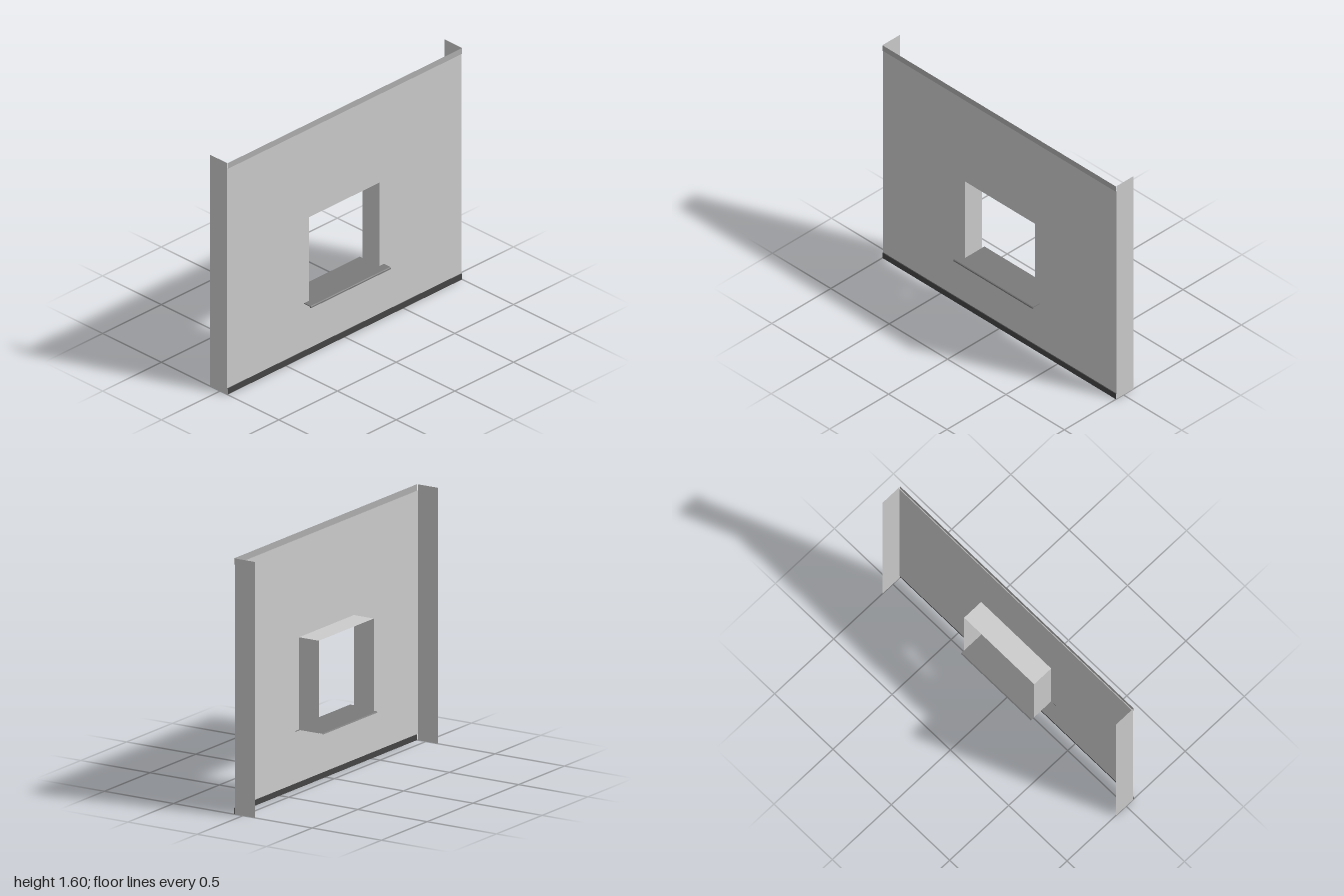
import * as THREE from 'three';

const paint = (color) => new THREE.MeshStandardMaterial({ color, side: THREE.DoubleSide });

export function createModel() {
  const model = new THREE.Group();
  const grey = paint(0xcccccc), trim = paint(0xaeaeae), dark = paint(0x454545), stone = paint(0x7a7a7a);
  const wallZ = 0.057, bandZ = 0.063, backZ = -0.087;
  const height = 1.6, band = 0.04;
  const hole = { x: 0.3, bottom: 0.366, top: 0.945 };

  const add = (name, geometry, material) => {
    const mesh = new THREE.Mesh(geometry, material);
    mesh.name = name;
    model.add(mesh);
    return mesh;
  };

  // Sheet following a [z, y] profile across the width of the wall
  const sheet = (name, profile, halfWidth, material) => {
    const positions = [], index = [];
    for (let i = 0; i < profile.length - 1; i++) {
      const [z0, y0] = profile[i], [z1, y1] = profile[i + 1];
      const n = positions.length / 3;
      positions.push(-halfWidth, y0, z0, halfWidth, y0, z0, halfWidth, y1, z1, -halfWidth, y1, z1);
      index.push(n, n + 1, n + 2, n, n + 2, n + 3);
    }
    const geometry = new THREE.BufferGeometry();
    geometry.setAttribute('position', new THREE.Float32BufferAttribute(positions, 3));
    geometry.setIndex(index);
    geometry.computeVertexNormals();
    return add(name, geometry, material);
  };

  // Wall face with the window opening
  const face = new THREE.Shape();
  face.moveTo(-1, band).lineTo(1, band).lineTo(1, height - band).lineTo(-1, height - band).closePath();
  const opening = new THREE.Path();
  opening.moveTo(-hole.x, hole.bottom).lineTo(-hole.x, hole.top);
  opening.lineTo(hole.x, hole.top).lineTo(hole.x, hole.bottom).closePath();
  face.holes.push(opening);
  add('wallFace', new THREE.ShapeGeometry(face), grey).position.z = wallZ;

  // Slightly raised strips along the bottom and top, each with its small ledge
  sheet('baseStrip', [[bandZ, 0], [bandZ, band], [wallZ, band]], 1, dark);
  sheet('topStrip', [[wallZ, height - band], [bandZ, height - band], [bandZ, height]], 1, trim);

  // Wall ends and the sides of the window reveal
  const depth = wallZ - backZ, midZ = (wallZ + backZ) / 2;
  for (const side of [-1, 1]) {
    const label = side > 0 ? 'left' : 'right';
    const upright = (name, x, y0, y1) => {
      const geometry = new THREE.PlaneGeometry(depth, y1 - y0).rotateY(side * Math.PI / 2);
      add(name, geometry, grey).position.set(side * x, (y0 + y1) / 2, midZ);
    };
    upright(label + 'WallEnd', 1, 0, height);
    upright(label + 'Reveal', hole.x, hole.bottom, hole.top);
  }

  // Window head
  sheet('headReveal', [[backZ, hole.top], [wallZ, hole.top]], hole.x, grey);

  // Sill inside the opening, with a shallow drop at the back
  const sillY = hole.bottom + 0.002;
  sheet('innerSill', [[wallZ, sillY], [-0.108, sillY], [-0.115, sillY - 0.006]], hole.x, stone);

  // Outer sill: a wider slab with a drip nose
  const nose = new THREE.Shape();
  nose.moveTo(wallZ, sillY).lineTo(0.11, sillY).lineTo(0.115, sillY - 0.004).lineTo(0.115, 0.355);
  nose.lineTo(0.108, 0.355).lineTo(0.108, 0.362).lineTo(wallZ, 0.362).closePath();
  const noseGeometry = new THREE.ExtrudeGeometry(nose, { depth: 0.68, bevelEnabled: false });
  noseGeometry.translate(0, 0, -0.34).rotateY(-Math.PI / 2);
  add('outerSill', noseGeometry, stone);

  return model;
}
